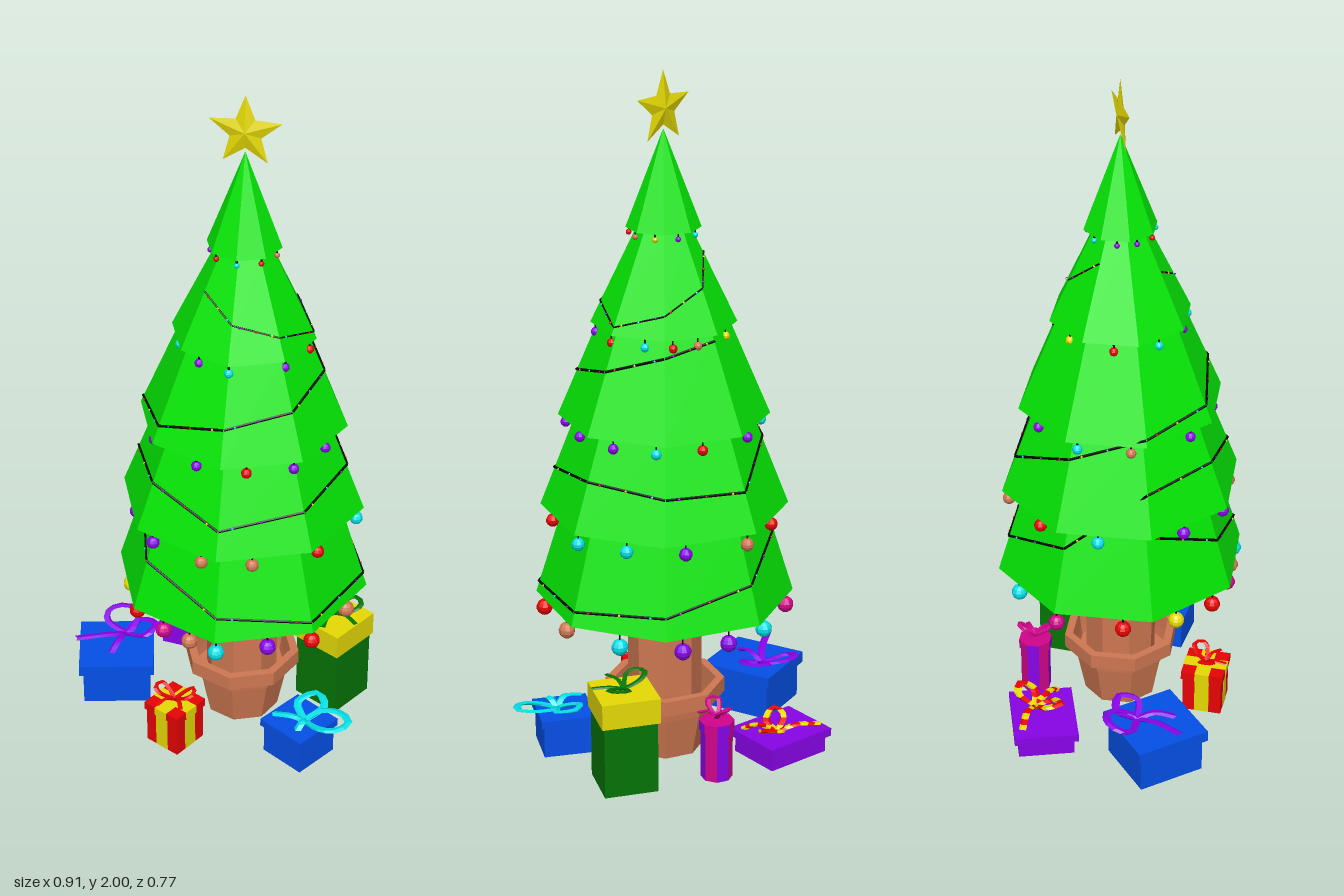
import * as THREE from 'three';

const mat = (name, color, extra = {}) => {
  const m = new THREE.MeshStandardMaterial({ color, flatShading: true, ...extra });
  m.name = name;
  return m;
};
const DS = { side: THREE.DoubleSide };

export function createModel() {
  const M = {
    leaf: mat('leaf green', 0x04f804),
    dark: mat('wrapping green', 0x047404),
    wire: mat('wire', 0x050805),
    brown: mat('terracotta', 0xcf7852, DS),
    yellow: mat('yellow', 0xe6da04),
    red: mat('red', 0xfa0404),
    cyan: mat('cyan', 0x04e2ea),
    magenta: mat('magenta', 0xd2048c),
    purple: mat('purple', 0x8a04ea),
    blue: mat('blue', 0x0450e8),
  };
  const model = new THREE.Group();
  model.name = 'christmasTree';
  const add = (parent, name, geo, material, x = 0, y = 0, z = 0) => {
    const m = new THREE.Mesh(geo, material);
    m.name = name;
    m.position.set(x, y, z);
    parent.add(m);
    return m;
  };
  const group = (parent, name, x = 0, y = 0, z = 0) => {
    const g = new THREE.Group();
    g.name = name;
    g.position.set(x, y, z);
    parent.add(g);
    return g;
  };
  const v = (x, y, z) => new THREE.Vector3(x, y, z);

  const tree = group(model, 'tree', 0.074, 0, 0.007);

  // Octagonal foliage tiers: bottom y, bottom radius, top radius
  const H = 0.27;
  const tiers = [
    [0.488, 0.372, 0.288], [0.758, 0.355, 0.25], [1.028, 0.3, 0.185],
    [1.298, 0.205, 0.075], [1.568, 0.105, 0.001],
  ];
  tiers.forEach(([y, rb, rt]) =>
    add(tree, 'foliageTier', new THREE.CylinderGeometry(rt, rb, H, 8), M.leaf, 0, y + H / 2, 0));

  // Trunk and pot
  add(tree, 'trunk', new THREE.CylinderGeometry(0.108, 0.108, 0.42, 8), M.brown, 0, 0.3, 0);
  const potProfile = [[0, 0], [0.112, 0], [0.145, 0.165], [0.175, 0.165], [0.175, 0.21],
    [0.15, 0.21], [0.14, 0.13], [0, 0.13]].map(p => new THREE.Vector2(...p));
  add(tree, 'pot', new THREE.LatheGeometry(potProfile, 8), M.brown);

  // Star with raised centres on both sides
  const rim = [...Array(10).keys()].map(i => {
    const r = i % 2 ? 0.045 : 0.104, a = i * Math.PI / 5;
    return [Math.sin(a) * r, Math.cos(a) * r, 0];
  });
  const starPos = [];
  rim.forEach((p, i) => {
    const q = rim[(i + 1) % 10];
    starPos.push(...q, ...p, 0, 0, 0.011, ...p, ...q, 0, 0, -0.011);
  });
  const starGeo = new THREE.BufferGeometry();
  starGeo.setAttribute('position', new THREE.Float32BufferAttribute(starPos, 3));
  starGeo.computeVertexNormals();
  add(tree, 'star', starGeo, M.yellow, 0, 1.896, 0);

  // Hanging baubles per tier: ball radius, drop, angles from the front, colour initials
  const hue = { C: M.cyan, P: M.purple, R: M.red, B: M.brown, M: M.magenta, Y: M.yellow };
  const rows = [
    [0.024, 0.045, [0, 25, 47, 78, 112, 143, 167, 192, 224, 257, 285, 308, 329, 345], 'CPRBCPPCMRYRMB'],
    [0.019, 0.034, [17, 53, 89, 115, 145, 178, 209, 244, 291, 321, 351], 'BRCCPBRCPPB'],
    [0.015, 0.028, [14, 42, 72, 103, 130, 158, 195, 230, 262, 303, 343], 'RPPPCRPCBPP'],
    [0.013, 0.026, [0, 48, 85, 118, 142, 165, 205, 250, 292, 330], 'CPRCRBYRCP'],
    [0.008, 0.016, [0, 40, 80, 120, 160, 205, 250, 285, 320], 'CRBYPCPPR'],
  ];
  rows.forEach(([r, drop, angles, colors], t) => {
    const [y, rb] = tiers[t];
    const ball = new THREE.SphereGeometry(r, 10, 7);
    const string = new THREE.CylinderGeometry(0.003, 0.003, drop, 4);
    angles.forEach((deg, i) => {
      const a = deg * Math.PI / 180, f = (a % (Math.PI / 4)) - Math.PI / 8;
      const R = 0.95 * rb * Math.cos(Math.PI / 8) / Math.cos(f);
      const x = Math.sin(a) * R, z = Math.cos(a) * R;
      add(tree, 'bauble', ball, hue[colors[i]], x, y - drop, z);
      add(tree, 'baubleString', string, M.wire, x, y - drop / 2, z);
    });
  });

  // Light strings around the tree: one height per octagon corner, from the left or front-left corner
  const bulb = new THREE.IcosahedronGeometry(0.004, 0);
  const bulbHues = [M.red, M.yellow, M.cyan, M.purple];
  const lights = (start, radius, heights) => {
    const pts = heights.map((y, i) => {
      const t = tiers[Math.min(4, Math.floor((y - 0.488) / H))];
      const r = t[1] + (t[2] - t[1]) * (y - t[0]) / H + 0.002;
      const a = (i + start) * Math.PI / 4;
      return v(Math.sin(a) * r, y, Math.cos(a) * r);
    });
    for (let i = 0; i < pts.length - 1; i++) {
      const p = pts[i], q = pts[i + 1];
      add(tree, 'lightString', new THREE.TubeGeometry(new THREE.LineCurve3(p, q), 1, radius, 5), M.wire);
      for (let k = 0; k < 3; k++) {
        const b = p.clone().lerp(q, (k + 0.5) / 3);
        add(tree, 'lightBulb', bulb, bulbHues[(i * 3 + k) % 4], b.x * 1.01, b.y, b.z * 1.01);
      }
    }
  };
  lights(-2, 0.004, [0.73, 0.64, 0.56, 0.52, 0.53, 0.55, 0.6, 0.68, 0.88, 0.9, 0.84, 0.87, 0.9, 0.88, 0.87,
    0.96, 1.05, 1.08, 1.13, 1.16, 1.2, 1.25, 1.28]);
  lights(-1, 0.0025, [1.46, 1.4, 1.36, 1.32, 1.36, 1.42, 1.5]);

  // Flat ribbon following points; two materials give it stripes
  const ribbon = (parent, pts, mats, w = 0.012) => {
    const flat = 0.3;
    const curve = new THREE.CatmullRomCurve3(pts.map(p => v(p[0], p[1] / flat, p[2])));
    const geo = new THREE.TubeGeometry(curve, 14, w, 4);
    geo.scale(1, flat, 1);
    for (let j = 0; j < 14; j++) geo.addGroup(j * 24, 24, (j >> 1) % mats.length);
    add(parent, 'ribbon', geo, mats);
  };
  // Bow of two loops and two tails, s is its size
  const bow = (parent, y, s, mats, turn, lift, w) => {
    const g = group(parent, 'bow', 0, y + 0.005, 0);
    g.rotation.y = turn;
    for (const k of [-1, 1]) {
      ribbon(g, [[0, 0, 0], [k * 0.4, lift * 0.5, -0.35], [k * 0.85, lift, -0.4], [k, lift, -0.05],
        [k * 0.75, lift * 0.7, 0.22], [k * 0.3, lift * 0.3, 0.12], [0, 0, 0]].map(p => p.map(c => c * s)), mats, w);
      ribbon(g, [[0, 0, 0], [k * 0.35, lift * 0.4, 0.4], [k * 0.6, lift * 0.3, 0.9]].map(p => p.map(c => c * s)), mats, w);
    }
  };
  // Square gift box with an overhanging lid
  const gift = (name, x, z, turn, w, d, h, lidH, body, lid, inset = 0.012) => {
    const g = group(model, name, x, 0, z);
    g.rotation.y = turn;
    add(g, 'box', new THREE.BoxGeometry(w - inset * 2, h - lidH, d - inset * 2), body, 0, (h - lidH) / 2, 0);
    add(g, 'lid', new THREE.BoxGeometry(w, lidH, d), lid, 0, h - lidH / 2, 0);
    return g;
  };

  // Large blue gift with purple ribbon
  const g1 = gift('largeBlueGift', -0.318, 0.012, 0.245, 0.227, 0.227, 0.142, 0.034, M.blue, M.blue);
  const top1 = group(g1, 'bow', 0.03, 0.147, -0.045);
  ribbon(top1, [[0, 0, 0], [-0.06, 0.02, 0.03], [-0.155, 0.03, 0.06]], [M.purple]);
  ribbon(top1, [[0, 0, 0], [-0.02, 0.02, 0.05], [-0.045, 0.005, 0.1]], [M.purple]);
  ribbon(top1, [[0, 0, 0], [-0.06, 0.015, -0.05], [-0.05, 0.03, -0.09], [0, 0.035, -0.1], [0.035, 0.03, -0.07], [0.02, 0.01, -0.01], [0, 0, 0]], [M.purple]);
  ribbon(top1, [[0, 0, 0], [0.04, 0.02, -0.045], [0.09, 0.03, -0.01], [0.06, 0.02, 0.035], [0, 0, 0]], [M.purple]);

  // Flat purple gift with striped ribbon
  const g2 = gift('purpleGift', -0.117, -0.28, -0.13, 0.23, 0.19, 0.075, 0.024, M.purple, M.purple);
  const top2 = group(g2, 'bow', 0.03, 0.08, -0.02);
  const candy = [M.yellow, M.red];
  ribbon(top2, [[0, 0, 0], [-0.05, 0.02, -0.03], [-0.12, 0.01, -0.05]], candy);
  ribbon(top2, [[0, 0, 0], [0.03, 0.03, -0.05], [0.07, 0.04, -0.04], [0.06, 0.02, 0], [0, 0, 0]], candy);
  ribbon(top2, [[0, 0, 0], [-0.05, 0.03, 0.03], [-0.05, 0.04, 0.07], [0, 0.02, 0.05], [0, 0, 0]], candy);
  ribbon(top2, [[0, 0, 0], [0.04, 0.02, 0.04], [0.07, 0.005, 0.07]], candy);

  // Red gift with yellow stripes
  const g3 = gift('stripedGift', -0.08, 0.235, -0.48, 0.128, 0.128, 0.14, 0.025, M.red, M.red, 0.005);
  for (const [w, d] of [[0.044, 0.131], [0.131, 0.044]])
    add(g3, 'lidStripe', new THREE.BoxGeometry(w, 0.0265, d), M.yellow, 0, 0.1275, 0);
  for (const [w, d] of [[0.044, 0.121], [0.121, 0.044]])
    add(g3, 'boxStripe', new THREE.BoxGeometry(w, 0.114, d), M.yellow, 0, 0.058, 0);
  bow(g3, 0.14, 0.06, [M.red], 0.4, 0.6, 0.008);

  // Tall green gift with yellow lid
  const g4 = gift('tallGreenGift', 0.338, -0.09, -0.52, 0.17, 0.17, 0.29, 0.075, M.dark, M.yellow, 0.007);
  bow(g4, 0.29, 0.085, [M.dark], 0.9, 0.32, 0.009);

  // Small blue gift with cyan ribbon
  const g5 = gift('smallBlueGift', 0.292, 0.211, -0.56, 0.162, 0.162, 0.118, 0.024, M.blue, M.blue, 0.008);
  const top5 = group(g5, 'bow', 0.02, 0.123, 0);
  top5.rotation.y = 0.56;
  ribbon(top5, [[0, 0, 0], [0.05, 0.02, -0.035], [0.11, 0.03, -0.02], [0.135, 0.03, 0.02], [0.1, 0.025, 0.055], [0.05, 0.015, 0.045], [0, 0, 0]], [M.cyan]);
  ribbon(top5, [[0, 0, 0], [-0.03, 0.02, -0.06], [0.02, 0.03, -0.1], [0.05, 0.02, -0.06], [0, 0, 0]], [M.cyan]);
  ribbon(top5, [[0, 0, 0], [-0.04, 0.02, 0.01], [-0.09, 0.01, 0]], [M.cyan]);
  ribbon(top5, [[0, 0, 0], [0, 0.02, 0.03], [-0.01, 0.005, 0.05]], [M.cyan]);

  // Magenta drum gift with purple bands
  const g6 = group(model, 'drumGift', 0.125, 0, -0.25);
  const drum = (name, r, h, y) => {
    const geo = new THREE.CylinderGeometry(r, r, h, 8);
    geo.clearGroups();
    for (let i = 0; i < 8; i++) geo.addGroup(i * 6, 6, i % 2);
    geo.addGroup(48, 48, 0);
    add(g6, name, geo, [M.magenta, M.purple], 0, y, 0);
  };
  drum('drumBody', 0.046, 0.15, 0.075);
  drum('drumLid', 0.051, 0.03, 0.163);
  bow(g6, 0.178, 0.05, [M.magenta], 1.2, 0.9, 0.008);

  return model;
}
